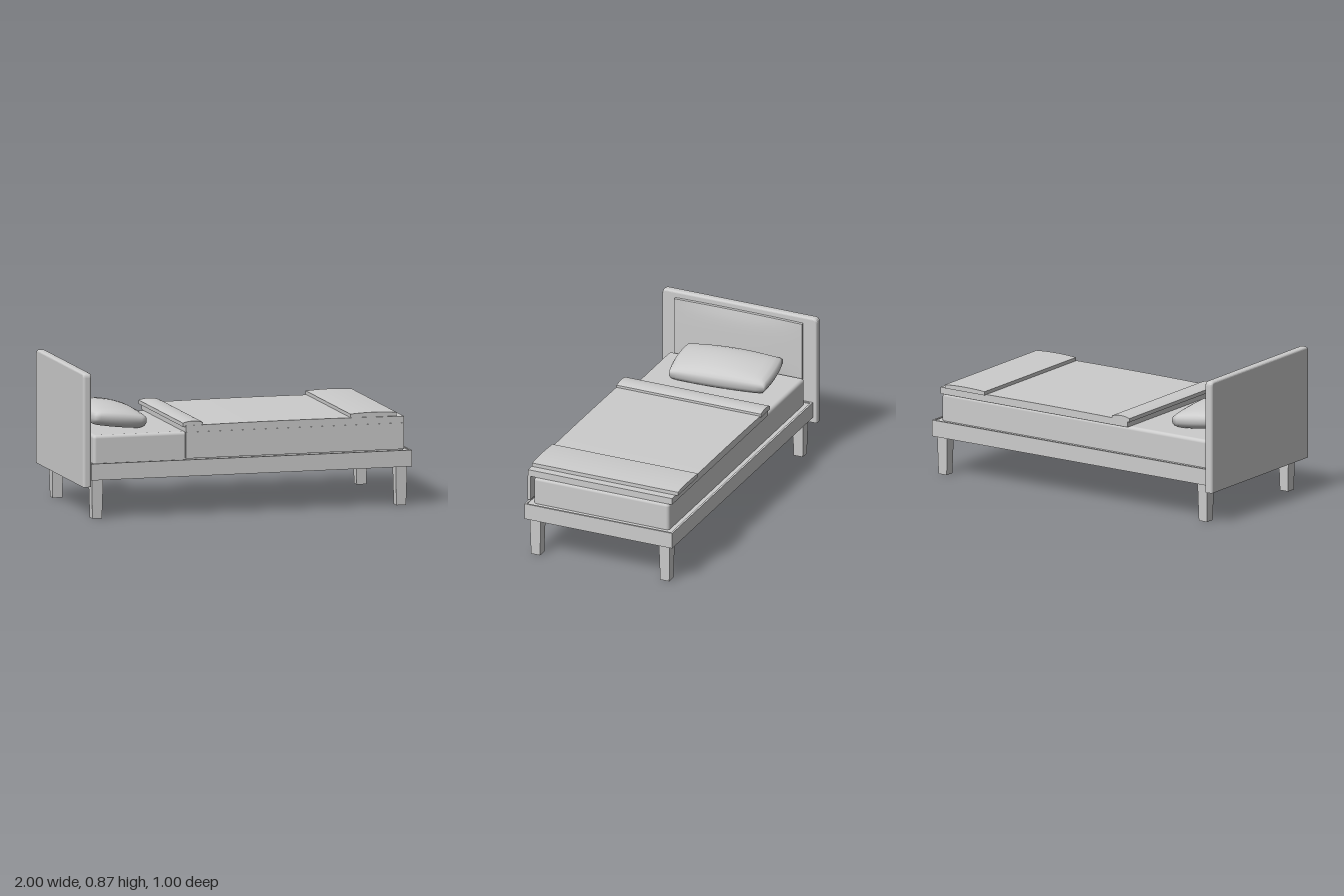
import * as THREE from 'three';
import { RoundedBoxGeometry } from 'three/addons/geometries/RoundedBoxGeometry.js';
import { mergeVertices } from 'three/addons/utils/BufferGeometryUtils.js';

const grey = new THREE.MeshStandardMaterial({ color: 0xcccccc, side: THREE.DoubleSide });
grey.name = 'plain grey';

export function createModel() {
  const bed = new THREE.Group();
  bed.name = 'singleBed';

  const add = (name, geometry) => {
    const mesh = new THREE.Mesh(geometry, grey);
    mesh.name = name;
    bed.add(mesh);
    return mesh;
  };
  // Box given by its limits on each axis, optionally with rounded edges
  const block = (name, [x0, x1], [y0, y1], [z0, z1], radius = 0) => {
    const size = [x1 - x0, y1 - y0, z1 - z0];
    const geometry = radius
      ? new RoundedBoxGeometry(...size, 3, radius)
      : new THREE.BoxGeometry(...size);
    const mesh = add(name, geometry);
    mesh.position.set((x0 + x1) / 2, (y0 + y1) / 2, (z0 + z1) / 2);
    return mesh;
  };
  // Moves every vertex by a rule and refreshes the normals
  const reshape = (geometry, rule) => {
    const p = geometry.attributes.position;
    const v = new THREE.Vector3();
    for (let i = 0; i < p.count; i++) {
      rule(v.fromBufferAttribute(p, i));
      p.setXYZ(i, v.x, v.y, v.z);
    }
    geometry.computeVertexNormals();
    return geometry;
  };
  // Welds all corners so that the shading runs smoothly round them
  const weld = (geometry) => {
    geometry.deleteAttribute('normal');
    geometry.deleteAttribute('uv');
    return mergeVertices(geometry);
  };

  // Headboard: upright slab with rounded edges, open at its foot
  const bevel = 0.012;
  const w = 0.498 - bevel, top = 0.865 - bevel, base = 0.195;
  const outline = new THREE.Shape();
  outline.moveTo(-w, base);
  outline.lineTo(w, base);
  outline.lineTo(w, top - 0.015);
  outline.quadraticCurveTo(w, top, w - 0.015, top);
  outline.lineTo(-w + 0.015, top);
  outline.quadraticCurveTo(-w, top, -w, top - 0.015);
  const slab = new THREE.ExtrudeGeometry(outline, {
    depth: 0.02, bevelThickness: 0.015, bevelSize: bevel, bevelSegments: 4, curveSegments: 4,
  });
  slab.rotateY(Math.PI / 2);
  slab.translate(-0.985, 0, 0);
  reshape(slab, (v) => { v.y = Math.max(v.y, base); });
  const corner = slab.attributes.position;
  const kept = [];
  for (let i = 0; i < corner.count; i += 3) {
    if ([i, i + 1, i + 2].some((k) => corner.getY(k) > base + 1e-5)) kept.push(i, i + 1, i + 2);
  }
  slab.setIndex(kept);
  slab.clearGroups();
  add('headboard', slab);

  // Padded panel, swelling gently towards its middle
  const pad = new THREE.BoxGeometry(0.022, 0.376, 0.82, 1, 10, 14);
  reshape(pad, (v) => {
    const a = v.y / 0.188, b = v.z / 0.41;
    if (v.x > 0) v.x += 0.012 * (1 - a ** 4) * (1 - b * b);
    v.y += 0.004 * a * (1 - b * b);
  });
  add('headboardPadding', pad).position.set(-0.942, 0.637, 0);

  // Bed frame: four thin rails around a recessed base
  const railY = [0.23, 0.327];
  for (const s of [-1, 1]) {
    block('sideRail', [-0.945, 1], railY, s < 0 ? [-0.475, -0.463] : [0.463, 0.475]);
  }
  block('footRail', [0.988, 1], railY, [-0.463, 0.463]);
  block('headRail', [-0.945, -0.933], railY, [-0.463, 0.463]);
  block('baseBoard', [-0.933, 0.988], [0.275, 0.322], [-0.463, 0.463]);

  // Four tapered square legs, hollow at the ends
  for (const x of [-0.9, 0.945]) {
    for (const z of [-0.415, 0.415]) {
      const leg = new THREE.CylinderGeometry(
        0.036 * Math.SQRT2, 0.029 * Math.SQRT2, 0.275, 4, 1, true).toNonIndexed();
      leg.rotateY(Math.PI / 4);
      leg.computeVertexNormals();
      add('leg', leg).position.set(x, 0.1375, z);
    }
  }

  // Mattress
  block('mattress', [-0.92, 0.96], [0.305, 0.488], [-0.435, 0.435], 0.02);

  // Blanket: top sheet, hanging side flap and two folded bands
  const sheet = new THREE.BoxGeometry(1.325, 0.04, 0.925, 12, 1, 4);
  reshape(sheet, (v) => {
    if (v.y > 0) v.y += 0.006 * (1 - (v.x / 0.6625) ** 2);
  });
  add('blanketTop', sheet).position.set(0.292, 0.508, 0.01);
  block('blanketSideFlap', [-0.37, 0.953], [0.335, 0.49], [0.458, 0.475]);
  const fold = new THREE.BoxGeometry(0.123, 0.022, 0.927, 8, 1, 1);
  reshape(fold, (v) => {
    if (v.y > 0) v.y += 0.01 * (1 - (v.x / 0.0615) ** 2);
  });
  add('blanketUpperFold', fold).position.set(-0.326, 0.533, 0.0065);
  const footFold = new THREE.BoxGeometry(0.28, 0.022, 0.937, 8, 1, 1);
  reshape(footFold, (v) => {
    if (v.y > 0) v.y += 0.006 * (1 - (v.x / 0.14) ** 2);
  });
  add('blanketFootFold', footFold).position.set(0.77, 0.542, -0.0015);

  // Pillow: soft cushion, tilted towards the headboard
  const pillow = weld(new THREE.BoxGeometry(2, 2, 2, 10, 6, 12));
  reshape(pillow, (v) => {
    const { x, y, z } = v;
    const swell = 0.6 + 0.4 * (1 - x ** 2) ** 0.7 * (1 - 0.4 * z ** 2);
    const edge = 1 - 0.12 * Math.abs(y) ** 3;
    v.x = 0.16 * x * edge * (1 + 0.08 * (1 - z * z));
    v.z = 0.295 * z * edge * (1 + 0.05 * (1 - x * x));
    v.y = y * (y > 0 ? 0.072 * swell * (1 - 0.25 * z * z) : 0.055 * (0.75 + 0.25 * swell));
  });
  const cushion = add('pillow', pillow);
  cushion.position.set(-0.73, 0.556, -0.015);
  cushion.rotation.set(0, 0.08, -0.12);

  return bed;
}
